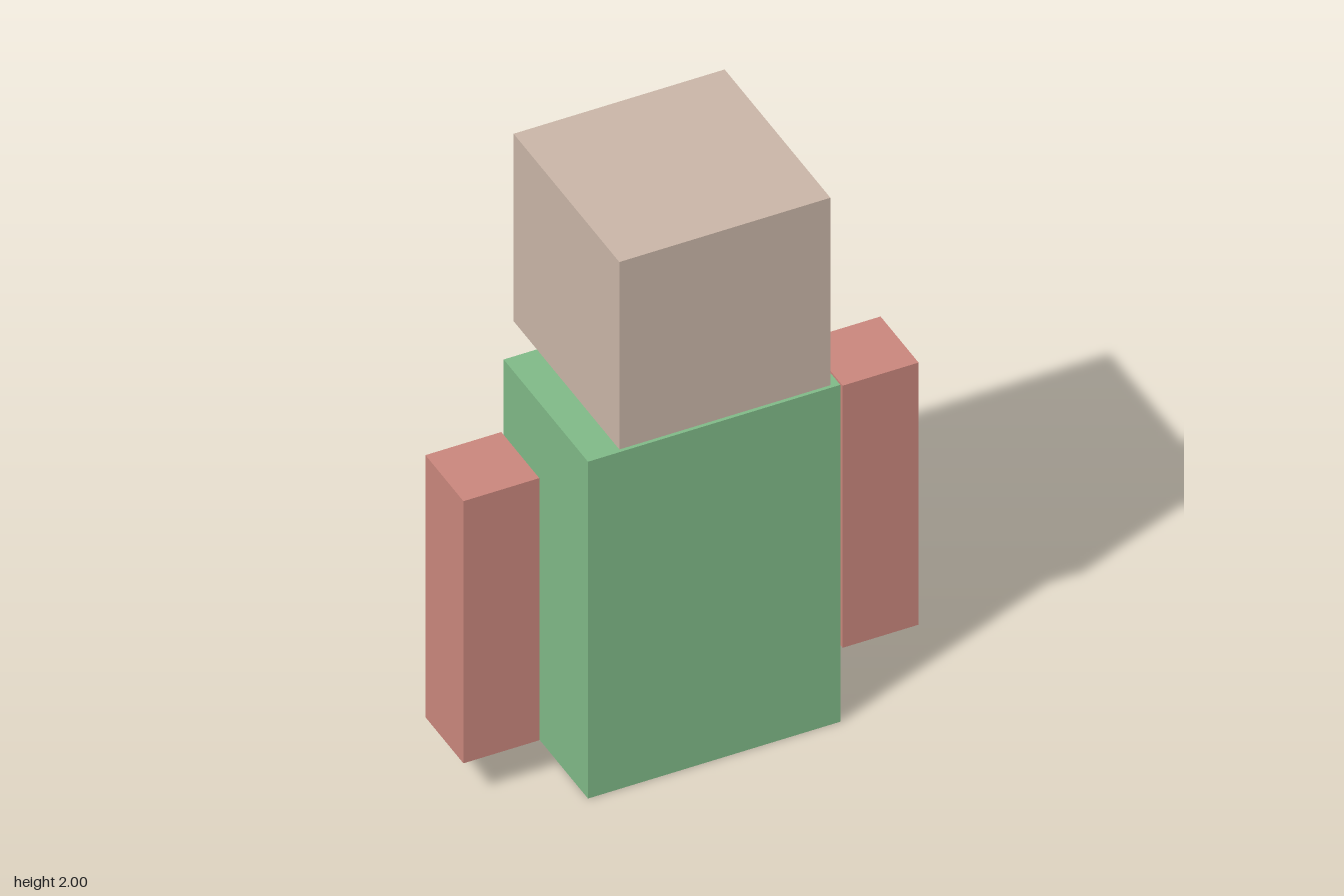
import * as THREE from 'three';

export function createModel() {
  const model = new THREE.Group();
  model.name = 'blockFigure';

  const material = (name, color) => {
    const m = new THREE.MeshStandardMaterial({ color });
    m.name = name;
    return m;
  };
  const skin = material('beige', 0xc9b5a7);
  const shirt = material('green', 0x7fb987);
  const sleeve = material('red', 0xc9867c);

  // Adds a box whose underside sits at the given height
  const addBox = (name, mat, [w, h, d], x, bottom) => {
    const mesh = new THREE.Mesh(new THREE.BoxGeometry(w, h, d), mat);
    mesh.name = name;
    mesh.position.set(x, bottom + h / 2, 0);
    model.add(mesh);
  };

  // Torso and floating head
  addBox('torso', shirt, [0.825, 1.24, 0.55], 0, 0);
  addBox('head', skin, [0.69, 0.69, 0.69], 0, 1.31);

  // Detached arms, mirrored
  for (const [name, side] of [['leftArm', 1], ['rightArm', -1]]) {
    addBox(name, sleeve, [0.248, 0.965, 0.248], side * 0.62, 0.14);
  }

  return model;
}
